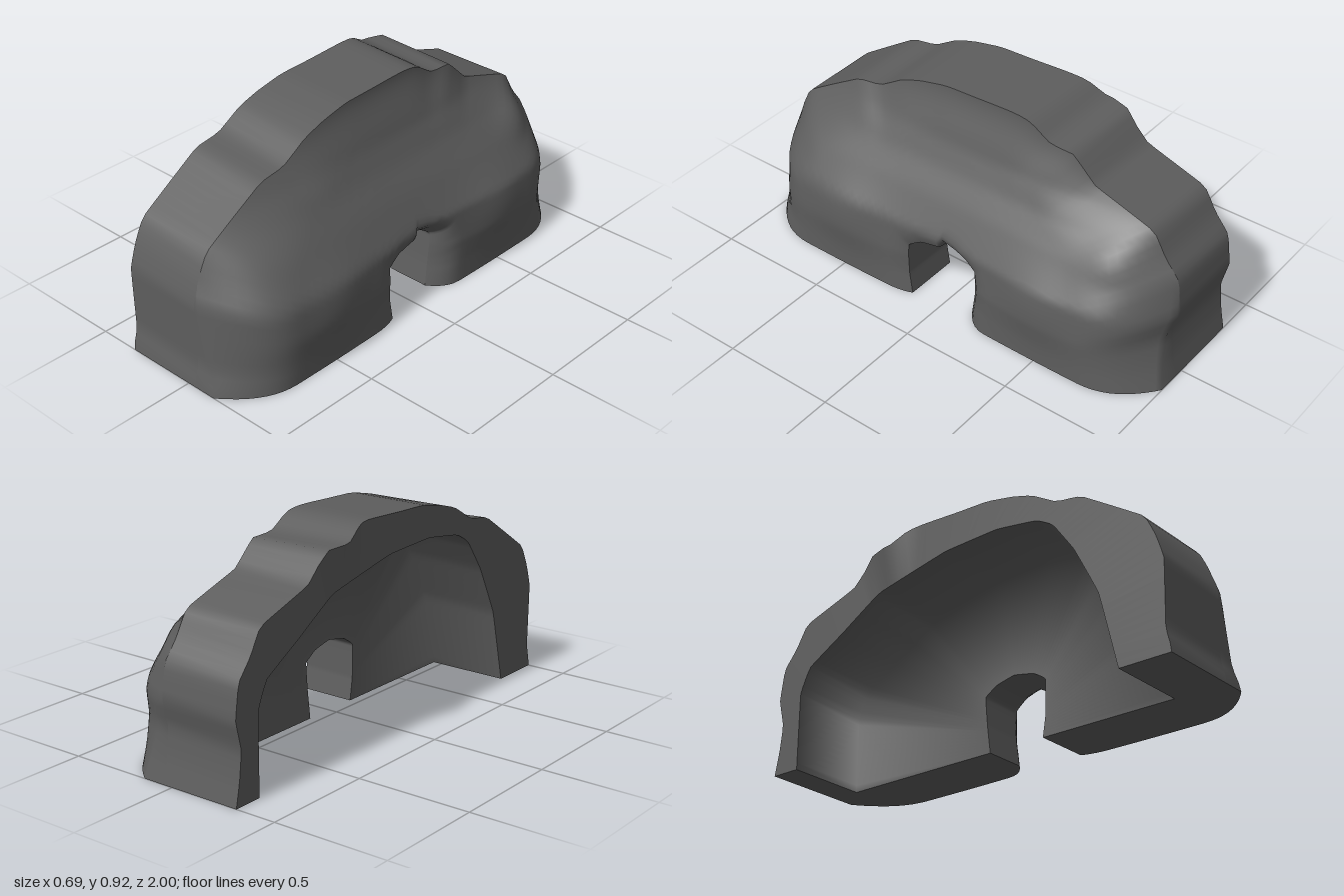
import * as THREE from 'three';

const COLS = 84;
const BACK = -0.32, MID = 0.04;

// Even samples along an outline given as [z, y], running from front foot over the top to back foot
function outline(pts) {
  const curve = new THREE.CatmullRomCurve3(pts.map(([z, y]) => new THREE.Vector3(0, y, z)), false, 'catmullrom', 0.08);
  curve.arcLengthDivisions = 800;
  return curve.getSpacedPoints(COLS);
}

const outer = outline([[1, 0], [0.995, 0.04], [0.98, 0.1], [0.985, 0.38], [0.955, 0.48], [0.905, 0.58], [0.62, 0.765],
  [0.5, 0.785], [0.38, 0.855], [0.28, 0.885], [0.15, 0.91], [0, 0.915], [-0.2, 0.925],
  [-0.27, 0.92], [-0.36, 0.87], [-0.47, 0.86], [-0.58, 0.75], [-0.85, 0.66], [-0.91, 0.56], [-0.975, 0.48],
  [-0.995, 0.34], [-0.967, 0.22], [-0.98, 0.1], [-1, 0]]);
const inner = outline([[0.77, 0], [0.69, 0.33], [0.58, 0.55], [0.48, 0.69], [0.4, 0.735], [0.2, 0.765], [-0.07, 0.755],
  [-0.43, 0.68], [-0.63, 0.56], [-0.82, 0.45], [-0.87, 0.34], [-0.87, 0]]);
const door = outline([[0.145, 0], [0.16, 0.1], [0.16, 0.25], [0.1, 0.29], [0, 0.31], [-0.09, 0.29], [-0.15, 0.25],
  [-0.14, 0.12], [-0.125, 0]]);

const at = (path, x) => path.map(p => new THREE.Vector3(typeof x === 'function' ? x(p) : x, p.y, p.z));
const hump = (v, centre, width) => Math.exp(-(((v - centre) / width) ** 2));

// Skin a list of rows of points
function loft(rows) {
  const pos = [], idx = [], n = COLS + 1;
  rows.forEach(r => r.forEach(p => pos.push(p.x, p.y, p.z)));
  for (let i = 0; i < rows.length - 1; i++) {
    for (let j = 0; j < COLS; j++) {
      const a = i * n + j, b = a + n;
      idx.push(a, b, a + 1, b, b + 1, a + 1);
    }
  }
  const g = new THREE.BufferGeometry();
  g.setAttribute('position', new THREE.Float32BufferAttribute(pos, 3));
  g.setIndex(idx);
  g.computeVertexNormals();
  return g;
}

// How far the side slope reaches out at each height
const SLOPE = [[0, 0.315], [0.1, 0.315], [0.2, 0.318], [0.35, 0.305], [0.5, 0.22], [0.6, 0.155], [0.7, 0.105], [0.92, 0.04]];
function reach(y) {
  for (let i = 1; i < SLOPE.length; i++) {
    const [y0, x0] = SLOPE[i - 1], [y1, x1] = SLOPE[i];
    if (y <= y1) return x0 + (x1 - x0) * (y - y0) / (y1 - y0);
  }
  return MID;
}

// Rounded, slightly uneven side bulge, running from the front rim in to the doorway
function bulgeRows(rim) {
  const rows = [rim], steps = 28;
  for (let i = 0; i <= steps; i++) {
    const s = 1 - Math.pow(1 - Math.pow(i / steps, 1.3), 1.3);
    rows.push(rim.map((o, j) => {
      const p = o.clone().lerp(door[j], s);
      const base = MID + 0.1 * Math.max(0, 1 - p.y / 0.45);
      const round = 1 - Math.pow(1 - Math.min(s / 0.35, 1), 2.4);
      const cheeks = 0.025 * hump(Math.abs(p.z), 0.5, 0.18) * hump(p.y, 0.28, 0.16) - 0.012 * hump(p.z, 0, 0.25) * hump(p.y, 0.2, 0.25);
      const shoulder = 0.05 * hump(p.z, -0.82, 0.12) * hump(p.y, 0.55, 0.08);
      const tuck = (p.z > 0 ? 0.02 : 0.08) * Math.pow(Math.max(0, (s - 0.85) / 0.15), 2.5);
      p.x = base + (Math.max(reach(p.y), base) - base + cheeks + shoulder) * round - tuck;
      return p;
    }));
  }
  return rows;
}

export function createModel() {
  const group = new THREE.Group();
  const stone = new THREE.MeshStandardMaterial({ color: 0x5e5e5e });
  stone.name = 'dark grey stone';
  const add = (name, geometry) => {
    const mesh = new THREE.Mesh(geometry, stone);
    mesh.name = name;
    group.add(mesh);
  };

  // Back rim juts out near the top; the front rim dips slightly on both shoulders
  const backRim = at(outer, p => BACK - 0.03 * Math.max(0, 1 - Math.abs(p.z + 0.38) / 0.14));
  const frontRim = at(outer, MID);
  frontRim.forEach(p => { p.y -= 0.018 * Math.min(1, p.y) * (hump(p.z, 0.55, 0.25) + hump(p.z, -0.38, 0.14)); });

  const bulge = bulgeRows(frontRim);
  const doorIn = at(door, MID), archIn = at(inner, MID), archOut = at(inner, BACK);

  add('archBand', loft([backRim, frontRim]));
  add('sideBulge', loft(bulge));
  add('doorwayTunnel', loft([bulge[bulge.length - 1], doorIn]));
  add('innerWallAndArch', loft([doorIn, archIn, archOut]));
  add('openRim', loft([archOut, backRim]));

  // Flat undersides of the two feet
  const loop = [backRim, ...bulge, doorIn, archIn, archOut];
  [['frontFoot', 0], ['backFoot', COLS]].forEach(([name, col]) => {
    const g = new THREE.ShapeGeometry(new THREE.Shape(loop.map(r => new THREE.Vector2(r[col].x, r[col].z))));
    g.rotateX(Math.PI / 2);
    add(name, g);
  });
  return group;
}
